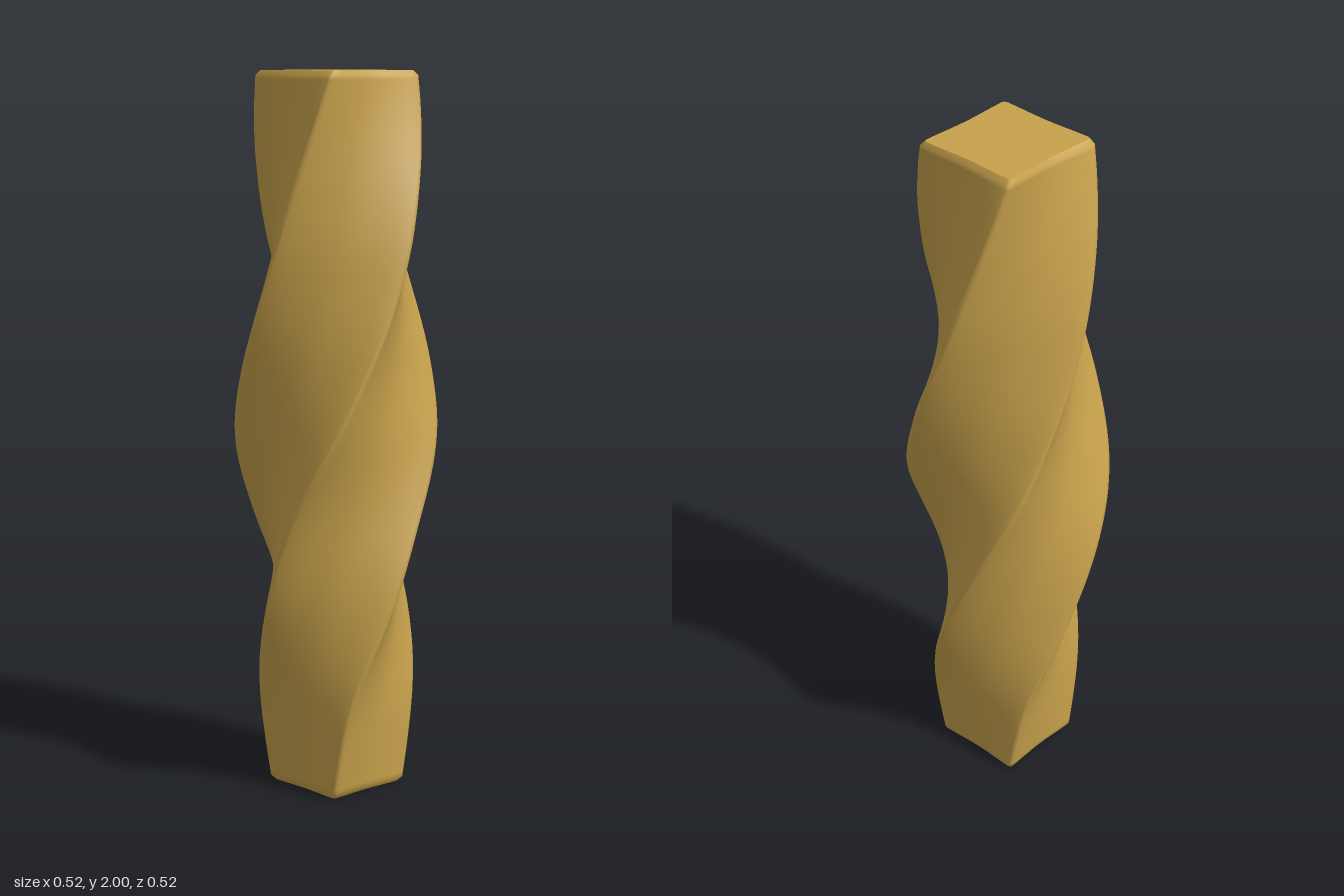
import * as THREE from 'three';

// Smooth key tables: [height, value]
const TWIST = [[0, -45], [0.28, -31], [0.55, -3], [0.8, 23], [1, 45], [1.22, 67], [1.45, 90], [1.73, 113], [2, 135]];
const RADIUS = [[0, 0.189], [0.12, 0.206], [0.25, 0.222], [0.5, 0.246], [0.75, 0.267], [1, 0.287], [1.2, 0.278], [1.4, 0.265], [1.55, 0.261], [1.75, 0.249], [1.9, 0.235], [2, 0.224]];
const SHIFT_X = [[0, 0], [0.5, 0], [0.8, -0.01], [1.1, 0], [1.35, 0.005], [2, 0]];

function curve(keys) {
  // Hermite interpolation with averaged slopes
  const slope = (i) => {
    const a = keys[Math.max(i - 1, 0)], b = keys[Math.min(i + 1, keys.length - 1)];
    return (b[1] - a[1]) / (b[0] - a[0]);
  };
  return (y) => {
    let i = 0;
    while (i < keys.length - 2 && y > keys[i + 1][0]) i++;
    const [y0, v0] = keys[i], [y1, v1] = keys[i + 1];
    const h = y1 - y0, t = (y - y0) / h, t2 = t * t, t3 = t2 * t;
    return (2 * t3 - 3 * t2 + 1) * v0 + (t3 - 2 * t2 + t) * h * slope(i)
      + (3 * t2 - 2 * t3) * v1 + (t3 - t2) * h * slope(i + 1);
  };
}
const twist = curve(TWIST), radius = curve(RADIUS), shiftX = curve(SHIFT_X);

// Square section with slightly hollow sides and eased corners, unit corner radius
const SIDE_STEPS = [0, 0.035, 0.12, 0.25, 0.4, 0.5, 0.6, 0.75, 0.88, 0.965];
const section = [];
for (let s = 0; s < 4; s++) {
  for (const t of SIDE_STEPS) {
    const hollow = 1 - 0.035 * Math.sin(Math.PI * t) ** 2;
    const ease = t === 0 ? 0.982 : 1;
    const along = (2 * t - 1) * Math.SQRT1_2, out = Math.SQRT1_2 * hollow;
    // side frame turned so its first corner points along angle s * 90
    const a = (s * 90 + 45) * Math.PI / 180;
    section.push([
      (Math.sin(a) * out + Math.cos(a) * along) * ease,
      (Math.cos(a) * out - Math.sin(a) * along) * ease,
    ]);
  }
}
const N = section.length;

function ring(y, inset = 0) {
  const a = twist(y) * Math.PI / 180, r = radius(y) - inset, c = Math.cos(a), s = Math.sin(a);
  return section.map(([x, z]) => [shiftX(y) + r * (x * c + z * s), y, r * (z * c - x * s)]);
}

function buildGeometry(points, index) {
  const g = new THREE.BufferGeometry();
  g.setAttribute('position', new THREE.Float32BufferAttribute(points.flat(), 3));
  g.setIndex(index);
  g.computeVertexNormals();
  return g;
}

function loft(rings) {
  const index = [];
  for (let j = 0; j < rings.length - 1; j++) {
    for (let i = 0; i < N; i++) {
      const a = j * N + i, b = j * N + (i + 1) % N;
      index.push(a, b, b + N, a, b + N, a + N);
    }
  }
  return buildGeometry(rings.flat(), index);
}

function cap(points, y, up) {
  const index = [];
  for (let i = 0; i < N; i++) {
    const a = i + 1, b = (i + 1) % N + 1;
    index.push(0, ...(up ? [a, b] : [b, a]));
  }
  return buildGeometry([[0, y, 0], ...points], index);
}

export function createModel() {
  const group = new THREE.Group();
  group.name = 'twistedBar';
  const golden = new THREE.MeshStandardMaterial({ color: 0xc8a24c });
  golden.name = 'golden';
  const add = (name, geometry) => {
    const mesh = new THREE.Mesh(geometry, golden);
    mesh.name = name;
    group.add(mesh);
  };

  // Twisted, swelling shaft with small softened rims
  const rings = [ring(0, 0.012), ring(0.012)];
  for (let k = 1; k < 80; k++) rings.push(ring(k * 0.025));
  rings.push(ring(1.986), ring(2, 0.012));
  add('shaft', loft(rings));

  // Flat ends
  add('topEnd', cap(rings[rings.length - 1], 2, true));
  add('bottomEnd', cap(rings[0], 0, false));
  return group;
}
